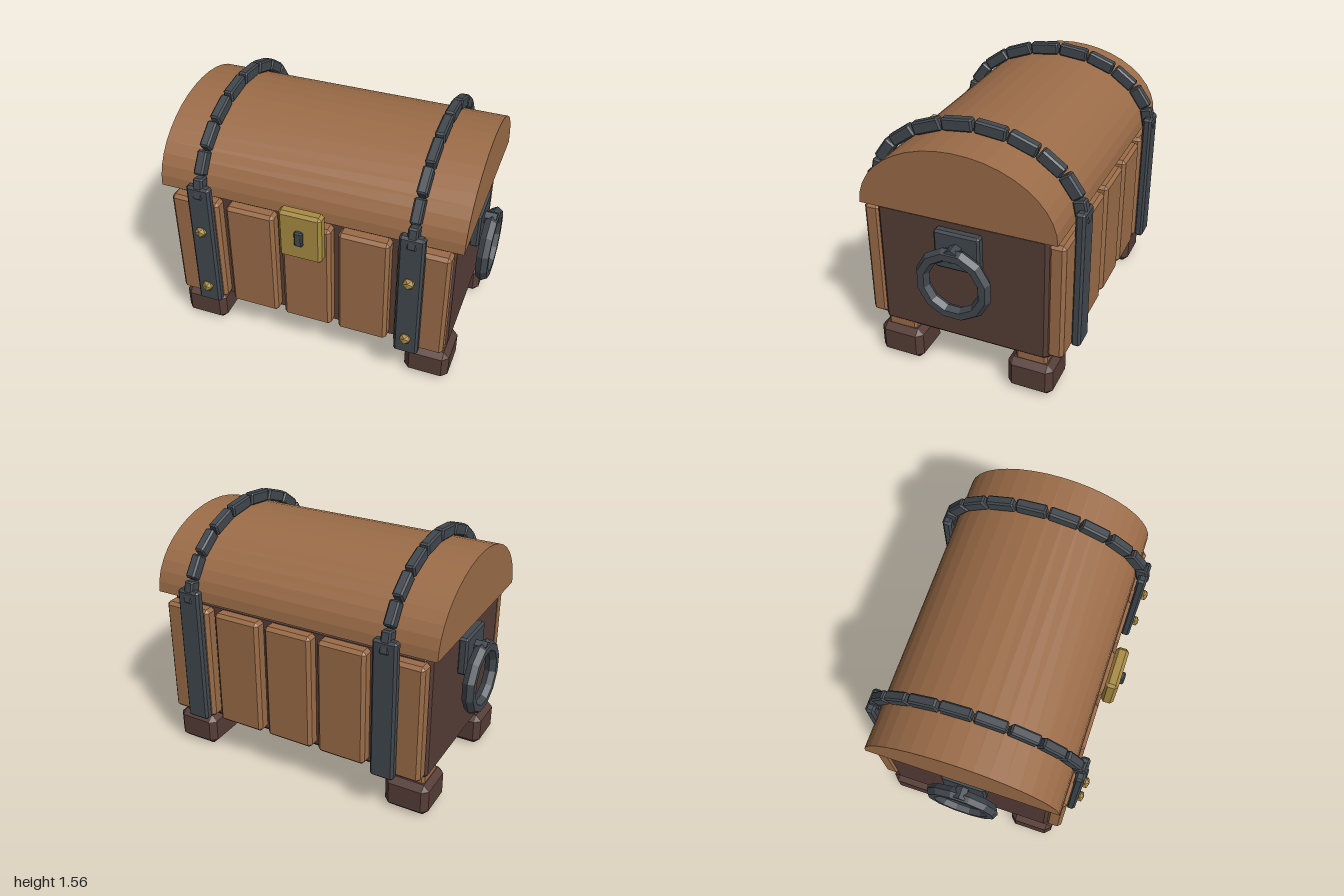
import * as THREE from 'three';
import { ConvexGeometry } from 'three/addons/geometries/ConvexGeometry.js';

const mat = (name, color) => Object.assign(new THREE.MeshStandardMaterial({ color }), { name });

// Box with flat bevels on every edge
function bevelBox(w, h, d, c) {
  const pts = [];
  for (const sx of [-1, 1]) for (const sy of [-1, 1]) for (const sz of [-1, 1]) {
    const [x, y, z] = [w / 2, h / 2, d / 2];
    pts.push(
      new THREE.Vector3(sx * x, sy * (y - c), sz * (z - c)),
      new THREE.Vector3(sx * (x - c), sy * y, sz * (z - c)),
      new THREE.Vector3(sx * (x - c), sy * (y - c), sz * z));
  }
  return new ConvexGeometry(pts);
}

export function createModel() {
  const wood = mat('wood', 0x9b6c48);
  const darkWood = mat('darkWood', 0x563d37);
  const iron = mat('iron', 0x41484e);
  const brass = mat('brass', 0xa88a42);
  for (const m of [wood, darkWood, iron, brass]) m.flatShading = true;

  const model = new THREE.Group();
  model.name = 'chest';
  const ZC = -0.017; // middle of the chest body
  const add = (name, geometry, material, x, y, z) => {
    const mesh = new THREE.Mesh(geometry, material);
    mesh.name = name;
    mesh.position.set(x, y, z);
    model.add(mesh);
    return mesh;
  };

  // Body
  add('body', bevelBox(1.73, 0.835, 1.075, 0.04), darkWood, 0, 0.6475, ZC);

  // Planks on the front and back
  const plank = bevelBox(0.308, 0.745, 0.1, 0.02);
  for (const s of [-1, 1]) for (let i = -2; i <= 2; i++)
    add(s > 0 ? 'frontPlank' : 'backPlank', plank, wood, i * 0.352, 0.6475, ZC + s * 0.56);

  // Barrel lid: half ellipse pulled along x
  const LID_Y = 1.065, N = 20;
  const outline = [];
  for (let i = 0; i <= N; i++) {
    const a = Math.PI * i / N;
    outline.push(new THREE.Vector2(0.588 * Math.cos(a), 0.414 * Math.sin(a)));
  }
  const lid = new THREE.ExtrudeGeometry(new THREE.Shape(outline), { depth: 1.84, bevelEnabled: false });
  lid.translate(0, 0, -0.92).rotateY(Math.PI / 2);
  add('lid', lid, wood, 0, LID_Y, ZC);

  const strap = bevelBox(0.148, 0.88, 0.058, 0.014);
  const rivet = new THREE.IcosahedronGeometry(0.038, 0).scale(1, 1, 0.75);
  const A = 0.628, B = 0.453, SEGMENTS = 10;
  for (const side of [-1, 1]) {
    const x = side * 0.644;
    // Upright straps and front rivets
    add('frontStrap', strap, iron, x, 0.715, ZC + 0.633);
    add('backStrap', strap, iron, x, 0.715, ZC - 0.633);
    for (const y of [0.405, 0.84]) add('rivet', rivet, brass, x, y, 0.655);

    // Segmented band over the lid
    for (let i = 0; i < SEGMENTS; i++) {
      const a = Math.PI * (i + 0.5) / SEGMENTS;
      const dz = -A * Math.sin(a), dy = B * Math.cos(a);
      const length = Math.hypot(dz, dy) * Math.PI / SEGMENTS * 0.95;
      const link = add('lidBandLink', bevelBox(0.06, 0.076, length, 0.01), iron,
        x, LID_Y + B * Math.sin(a), ZC + A * Math.cos(a));
      link.rotation.x = -Math.atan2(dy, dz);
    }

    // Feet
    for (const s of [-1, 1]) {
      add('footNeck', bevelBox(0.2, 0.1, 0.19, 0.015), wood, side * 0.75, 0.22, ZC + s * 0.417);
      add('foot', bevelBox(0.278, 0.21, 0.278, 0.036), darkWood, side * 0.75, 0.105, ZC + s * 0.417);
    }

    // Ring handle with its plate and peg
    add('handlePlate', bevelBox(0.06, 0.24, 0.277, 0.013), iron, side * 0.888, 0.872, ZC);
    const peg = new THREE.CylinderGeometry(0.041, 0.041, 0.1, 6).rotateZ(Math.PI / 2).rotateX(Math.PI / 2);
    add('handlePeg', peg, iron, side * 0.94, 0.892, ZC);
    const ring = new THREE.TorusGeometry(0.192, 0.041, 6, 12).rotateZ(Math.PI / 12).rotateY(Math.PI / 2);
    add('handleRing', ring, iron, side * 0.963, 0.697, ZC);
  }

  // Lock
  add('lockPlate', bevelBox(0.262, 0.325, 0.078, 0.018), brass, 0, 0.993, 0.632);
  add('keyhole', bevelBox(0.05, 0.1, 0.04, 0.008), iron, 0, 0.995, 0.674);

  return model;
}
